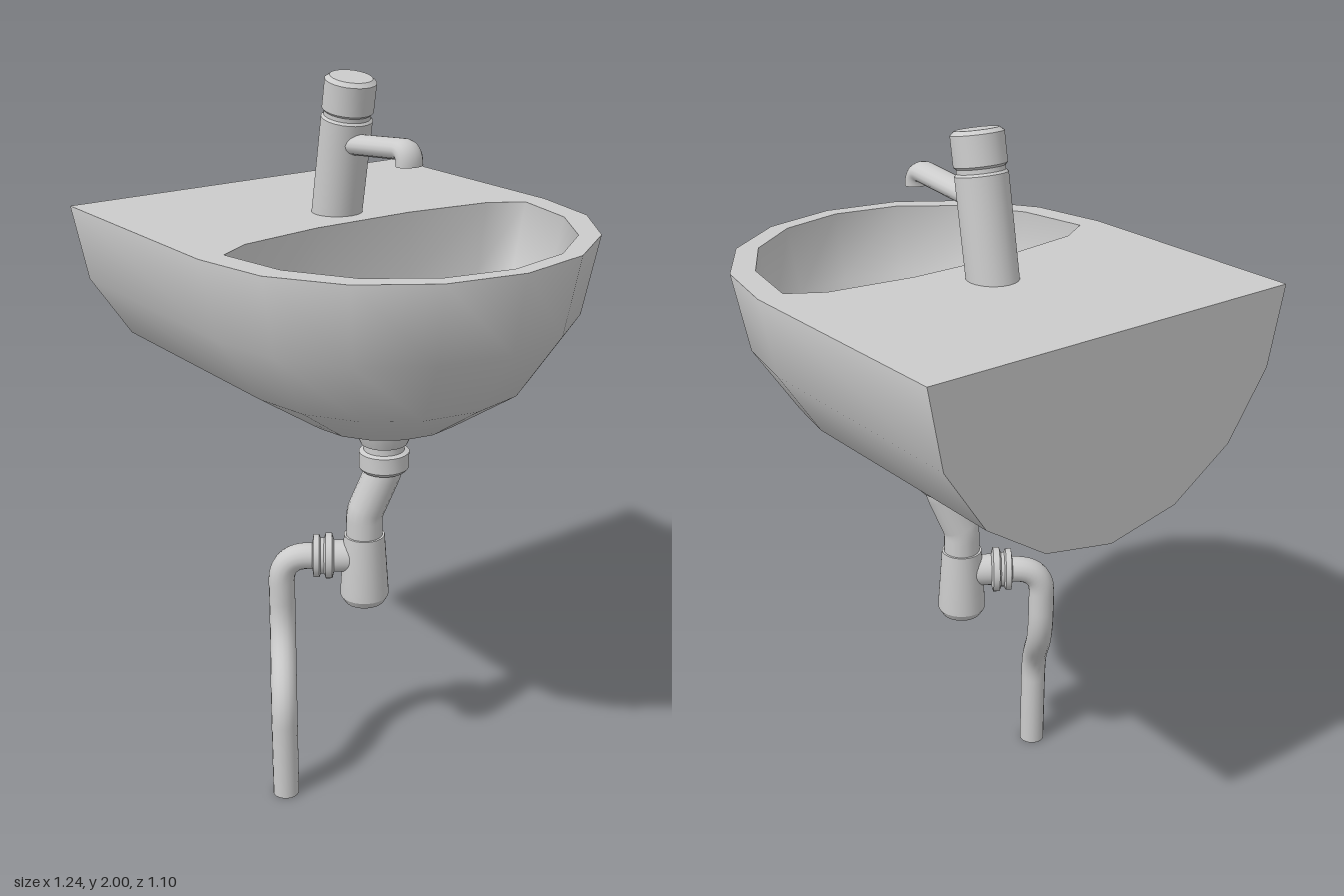
import * as THREE from 'three';
import { toCreasedNormals } from 'three/addons/utils/BufferGeometryUtils.js';

const mat = new THREE.MeshStandardMaterial({ color: 0xcccccc });
const thin = new THREE.MeshStandardMaterial({ color: 0xcccccc, side: THREE.DoubleSide });
const V = (x, y, z) => new THREE.Vector3(x, y, z);
const UP = V(0, 1, 0);

const RIM_Y = 1.625, R = 0.55, BOWL_X = 0.07, BACK_X = -0.62;
const BOWL_R = 0.48, BOWL_FRONT = 0.505, BOWL_BACK = 0.095;

function add(parent, name, geometry, material = mat) {
  const mesh = new THREE.Mesh(geometry, material);
  mesh.name = name;
  parent.add(mesh);
  return mesh;
}

// Turned part: profile of [radius, height] along an axis from a base point
function turned(parent, name, profile, base, axis = UP) {
  const pts = profile.map(([r, h]) => new THREE.Vector2(r, h));
  const mesh = add(parent, name, toCreasedNormals(new THREE.LatheGeometry(pts, 24), 0.5));
  mesh.position.copy(base);
  mesh.quaternion.setFromUnitVectors(UP, axis.clone().normalize());
  return mesh;
}

// Round pipe through points, with a disc closing the far end
function pipe(parent, name, curve, radius, segments) {
  const tube = add(parent, name, new THREE.TubeGeometry(curve, segments, radius, 16), thin);
  const cap = add(tube, name + 'End', new THREE.CircleGeometry(radius, 16), thin);
  cap.position.copy(curve.getPoint(1));
  cap.quaternion.setFromUnitVectors(V(0, 0, 1), curve.getTangent(1));
  return tube;
}

// Lower quarter of a sphere, on the +x or -x side
const quarterSphere = (segments, front) => new THREE.SphereGeometry(
  1, segments, 4, front ? Math.PI / 2 : -Math.PI / 2, Math.PI, Math.PI / 2, Math.PI / 2);

function createBasin() {
  const basin = new THREE.Group();
  basin.name = 'basin';
  basin.position.y = RIM_Y;
  const length = BOWL_X - BACK_X;

  // Outer shell: half cylinder, rounded front, flat back
  add(basin, 'basinBody', new THREE.CylinderGeometry(R, R, length, 8, 1, true, Math.PI, Math.PI)
    .rotateZ(Math.PI / 2).translate((BOWL_X + BACK_X) / 2, 0, 0));
  add(basin, 'basinFront', quarterSphere(8, true).scale(R, R, R).translate(BOWL_X, 0, 0));
  add(basin, 'basinBack', new THREE.CircleGeometry(R, 8, Math.PI, Math.PI)
    .rotateY(-Math.PI / 2).translate(BACK_X, 0, 0));

  // Flat deck and rim with the bowl opening
  const arc = (n, from, rx, rz) => Array.from({ length: n + 1 }, (_, i) => {
    const a = from + Math.PI * i / n;
    return new THREE.Vector2(BOWL_X + rx * Math.cos(a), rz * Math.sin(a));
  });
  const deck = new THREE.Shape([
    new THREE.Vector2(BACK_X, -R), ...arc(8, -Math.PI / 2, R, R), new THREE.Vector2(BACK_X, R)]);
  deck.holes.push(new THREE.Path([
    ...arc(8, -Math.PI / 2, BOWL_FRONT, BOWL_R),
    ...arc(5, Math.PI / 2, BOWL_BACK, BOWL_R).slice(1, -1)]));
  add(basin, 'deck', new THREE.ShapeGeometry(deck).rotateX(-Math.PI / 2));

  // Bowl interior: round front and shallow curved back wall
  add(basin, 'bowlFront', quarterSphere(8, true)
    .scale(BOWL_FRONT, BOWL_R, BOWL_R).translate(BOWL_X, 0, 0), thin);
  add(basin, 'bowlBackWall', quarterSphere(5, false)
    .scale(BOWL_BACK, BOWL_R, BOWL_R).translate(BOWL_X, 0, 0), thin);
  return basin;
}

function createFaucet() {
  const faucet = new THREE.Group();
  faucet.name = 'faucet';
  // Leaning body with a grooved handle cap
  turned(faucet, 'faucetBody', [
    [0, -0.02], [0.068, -0.02], [0.068, 0.258], [0.062, 0.264], [0.062, 0.275],
    [0.068, 0.281], [0.068, 0.357], [0.056, 0.367], [0, 0.367],
  ], V(-0.145, RIM_Y, 0), V(0.19, 1, 0));
  // Flattened spout turning down at its tip
  const path = new THREE.CurvePath();
  path.add(new THREE.LineCurve3(V(-0.09, 1.812, 0), V(0.14, 1.834, 0)));
  path.add(new THREE.QuadraticBezierCurve3(V(0.14, 1.834, 0), V(0.17, 1.836, 0), V(0.17, 1.797, 0)));
  pipe(faucet, 'spout', path, 0.027, 40).scale.z = 1.4;
  return faucet;
}

function createDrain() {
  const drain = new THREE.Group();
  drain.name = 'drain';
  const trap = V(0.04, 0.55, 0.045);

  // Funnel and nut under the bowl
  turned(drain, 'drainFunnel', [
    [0, 0.95], [0.06, 0.95], [0.069, 0.96], [0.069, 1.005], [0.056, 1.01],
    [0.056, 1.028], [0.064, 1.03], [0.095, 1.1], [0.095, 1.13],
  ], V(BOWL_X, 0, 0));

  // Slanted tailpiece into the trap
  const tail = new THREE.CurvePath();
  const knee = V(trap.x, 0.82, trap.z), top = V(BOWL_X, 0.95, 0);
  const a = top.clone().lerp(knee, 0.12), b = top.clone().lerp(knee, 0.9);
  tail.add(new THREE.QuadraticBezierCurve3(V(BOWL_X, 0.98, 0), top, a));
  tail.add(new THREE.LineCurve3(a, b));
  tail.add(new THREE.QuadraticBezierCurve3(b, knee, V(trap.x, 0.8, trap.z)));
  tail.add(new THREE.LineCurve3(V(trap.x, 0.8, trap.z), V(trap.x, 0.74, trap.z)));
  pipe(drain, 'tailpiece', tail, 0.051, 32);

  // Bottle trap
  turned(drain, 'bottleTrap', [
    [0, 0], [0.056, 0], [0.068, 0.02], [0.068, 0.04], [0.057, 0.205], [0, 0.205],
  ], trap);

  // Side outlet with collar rings
  const side = V(-0.135, 0, 0.19).normalize();
  const outlet = V(trap.x, 0.688, trap.z);
  turned(drain, 'outletCollar', [
    [0.045, 0.02], [0.045, 0.085], [0.064, 0.09], [0.064, 0.108], [0.05, 0.113],
    [0.05, 0.122], [0.06, 0.126], [0.06, 0.142], [0.035, 0.146],
  ], outlet, side);

  // Waste pipe: elbow, drop, offset and straight run to the floor
  const end = V(-0.095, 0.688, 0.235);
  const bend = outlet.clone().addScaledVector(side, 0.155);
  const waste = new THREE.CurvePath();
  waste.add(new THREE.LineCurve3(outlet, bend));
  waste.add(new THREE.QuadraticBezierCurve3(bend, end, V(end.x, 0.61, end.z)));
  waste.add(new THREE.LineCurve3(V(end.x, 0.61, end.z), V(end.x, 0.55, end.z)));
  waste.add(new THREE.CubicBezierCurve3(
    V(end.x, 0.55, end.z), V(end.x, 0.38, end.z), V(0.02, 0.38, 0.31), V(0.02, 0.23, 0.31)));
  waste.add(new THREE.LineCurve3(V(0.02, 0.23, 0.31), V(0.02, 0, 0.31)));
  pipe(drain, 'wastePipe', waste, 0.037, 70);
  return drain;
}

export function createModel() {
  const model = new THREE.Group();
  model.name = 'washbasin';
  model.add(createBasin(), createFaucet(), createDrain());
  return model;
}
